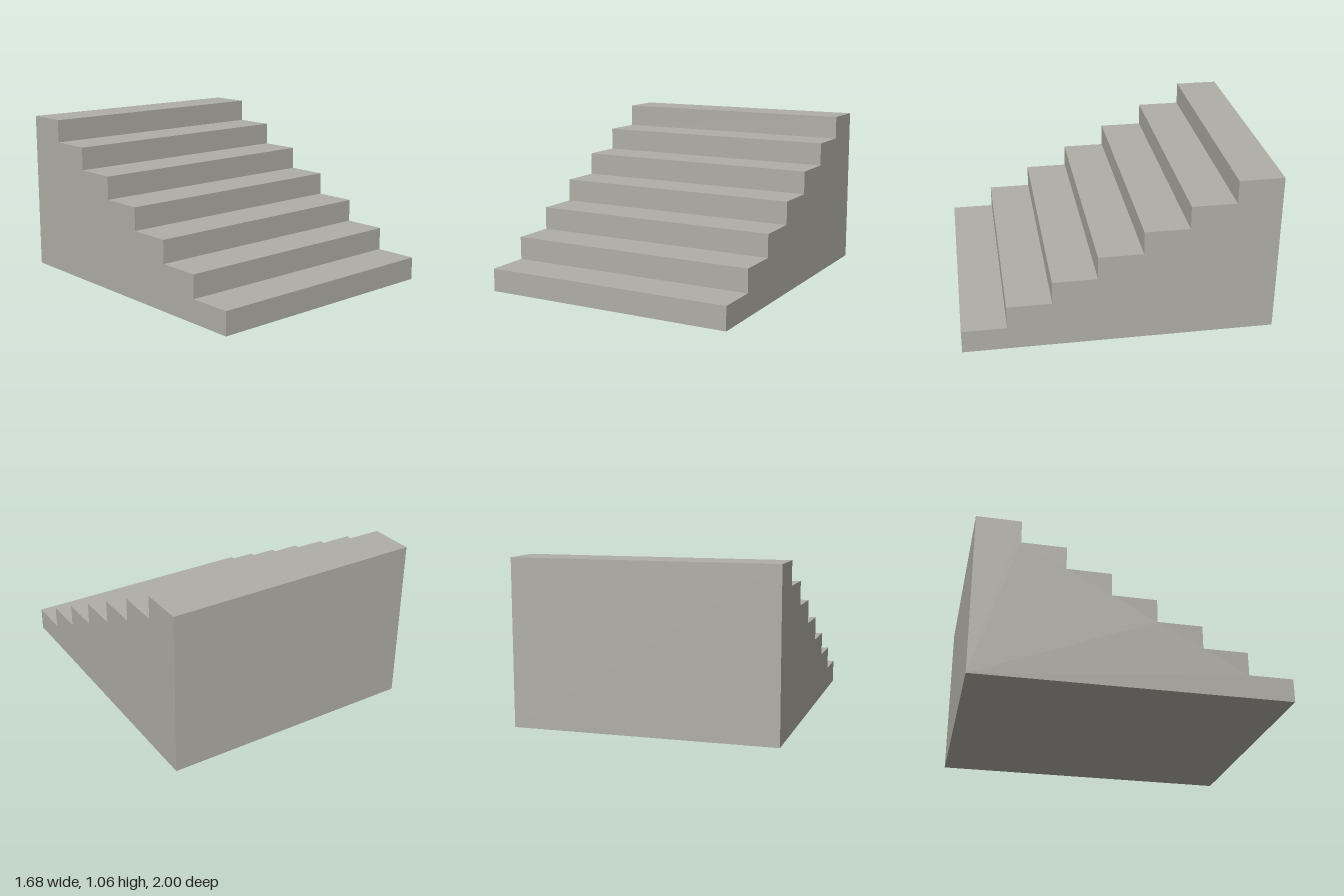
import * as THREE from 'three';

const STEPS = 7, WIDTH = 1.68, HEIGHT = 1.06, LENGTH = 2;

export function createModel() {
  const group = new THREE.Group();
  group.name = 'staircase';

  const stone = new THREE.MeshStandardMaterial({ color: 0xb0afa6 });
  stone.name = 'warm grey stone';

  // Stepped side profile: shape x runs from back to front, y is up
  const run = LENGTH / STEPS, rise = HEIGHT / STEPS;
  const profile = new THREE.Shape();
  profile.moveTo(-LENGTH / 2, 0);
  profile.lineTo(LENGTH / 2, 0);
  for (let i = 0; i < STEPS; i++) {
    const front = LENGTH / 2 - i * run;
    const top = (i + 1) * rise;
    profile.lineTo(front, top); // riser
    profile.lineTo(front - run, top); // tread
  }
  profile.closePath();

  // Solid flight of steps, extruded across the width
  const geometry = new THREE.ExtrudeGeometry(profile, { depth: WIDTH, bevelEnabled: false });
  geometry.translate(0, 0, -WIDTH / 2);
  geometry.rotateY(-Math.PI / 2);

  const steps = new THREE.Mesh(geometry, stone);
  steps.name = 'steps';
  group.add(steps);
  return group;
}
